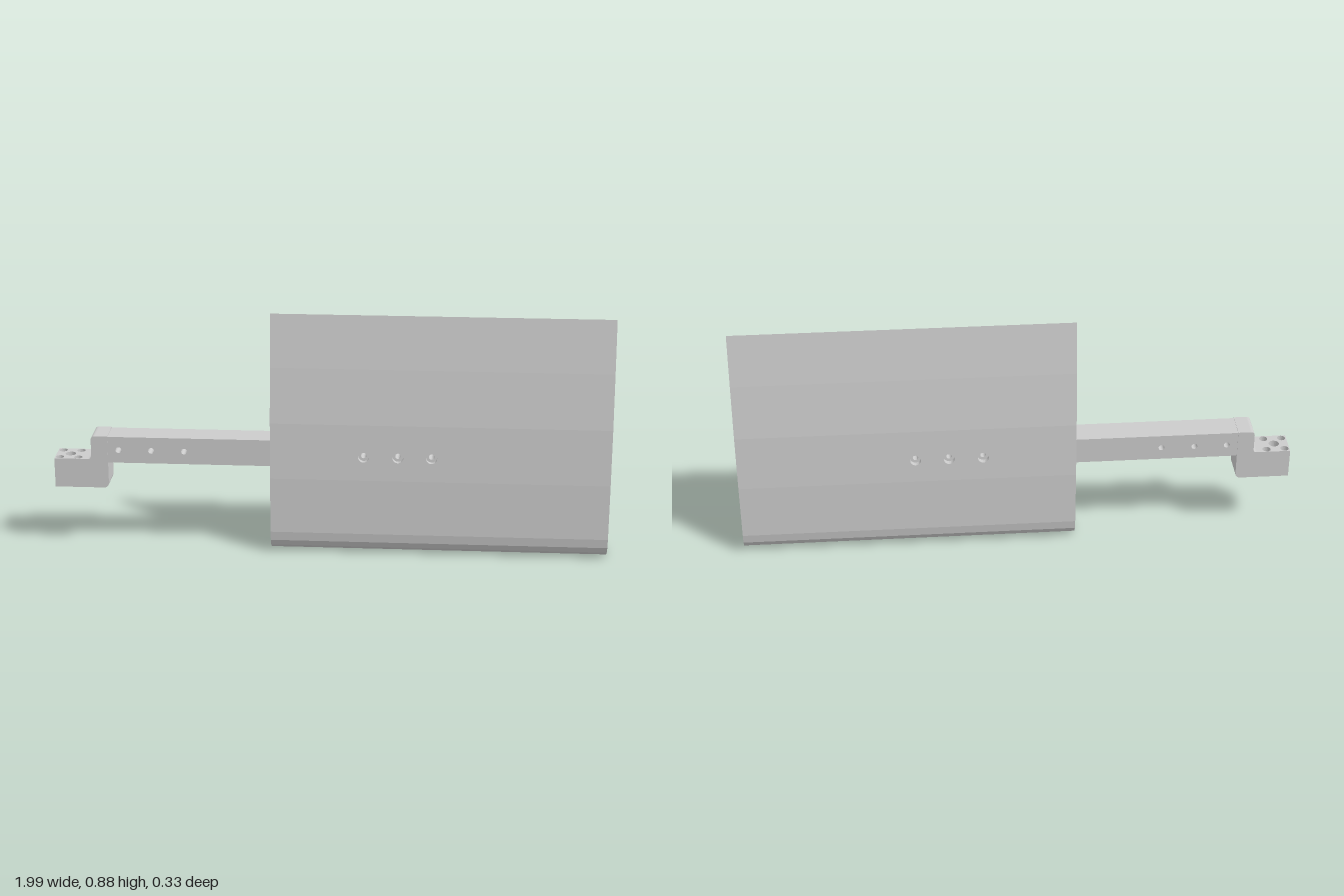
import * as THREE from 'three';

const material = new THREE.MeshStandardMaterial({ color: 0xcccccc, flatShading: true, side: THREE.DoubleSide });

function addMesh(parent, name, geometry) {
  const mesh = new THREE.Mesh(geometry, material);
  mesh.name = name;
  parent.add(mesh);
  return mesh;
}

function rectangle(x0, y0, x1, y1) {
  return new THREE.Shape([
    new THREE.Vector2(x0, y0), new THREE.Vector2(x1, y0),
    new THREE.Vector2(x1, y1), new THREE.Vector2(x0, y1),
  ]);
}

function punch(shape, x, y, r) {
  shape.holes.push(new THREE.Path().absarc(x, y, r, 0, Math.PI * 2, true));
}

const extrude = (shape, depth) =>
  new THREE.ExtrudeGeometry(shape, { depth, bevelEnabled: false, curveSegments: 10 });

// Half outline of the foil section: [half thickness, height]
const FOIL = [
  [0, 0], [0.03, 0.005], [0.051, 0.021], [0.068, 0.046], [0.073, 0.08],
  [0.07, 0.285], [0.0565, 0.49], [0.0305, 0.69], [0, 0.88],
];
const HALF = 0.6055;      // half span of the foil
const CENTRE = 0.3865;    // middle of the foil along the arm axis
const HOLE_Y = 0.373;
const FOIL_HOLES = [0.115, 0.237, 0.357];

// One side of the foil: flat strips, one of them pierced by counterbored holes
function foilSide(flip) {
  const side = new THREE.Group();
  side.name = flip ? 'foilBack' : 'foilFront';
  for (let i = 0; i < FOIL.length - 1; i++) {
    const [z0, y0] = FOIL[i], [z1, y1] = FOIL[i + 1];
    const length = Math.hypot(y1 - y0, z1 - z0);
    const strip = rectangle(-HALF, 0, HALF, length);
    const panel = new THREE.Group();
    panel.name = 'foilPanel';
    panel.position.set(0, y0, z0);
    panel.rotation.x = Math.atan2(z1 - z0, y1 - y0);
    if (y0 < HOLE_Y && y1 > HOLE_Y) {
      const v = length * (HOLE_Y - y0) / (y1 - y0);
      for (const u of FOIL_HOLES) {
        const x = (u - CENTRE) * (flip ? -1 : 1);
        punch(strip, x, v, 0.02);
        const bore = [[0.02, 0], [0.02, -0.02], [0.01, -0.02], [0.01, -0.066]];
        const screwHole = addMesh(panel, 'screwHole',
          new THREE.LatheGeometry(bore.map(p => new THREE.Vector2(...p)), 20));
        screwHole.rotation.x = Math.PI / 2;
        screwHole.position.set(x, v, 0);
      }
    }
    addMesh(panel, 'foilStrip', new THREE.ShapeGeometry(strip, 10));
    side.add(panel);
  }
  if (flip) side.rotation.y = Math.PI;
  return side;
}

function createFoil() {
  const foil = new THREE.Group();
  foil.name = 'foil';
  foil.position.x = CENTRE;
  foil.add(foilSide(false), foilSide(true));
  // End caps
  const outline = [...FOIL, ...FOIL.slice(1, -1).reverse().map(([z, y]) => [-z, y])];
  for (const s of [-1, 1]) {
    const section = new THREE.Shape(outline.map(p => new THREE.Vector2(...p)));
    const cap = addMesh(foil, 'foilEnd', new THREE.ShapeGeometry(section));
    cap.rotation.y = s * Math.PI / 2;
    cap.position.x = s * HALF;
  }
  return foil;
}

function createArm() {
  // Square bar with three cross holes, running into the foil
  const bar = rectangle(-0.805, 0.325, -0.15, 0.423);
  for (const x of [-0.766, -0.648, -0.529]) punch(bar, x, HOLE_Y, 0.011);
  return extrude(bar, 0.098).translate(0, 0, -0.049);
}

function createBracket() {
  const bracket = new THREE.Group();
  bracket.name = 'bracket';

  // Upright part with rounded corners and a fillet at the step
  const riser = new THREE.Shape();
  riser.moveTo(-0.865, 0.228);
  riser.lineTo(-0.825, 0.228);
  riser.quadraticCurveTo(-0.805, 0.228, -0.805, 0.248);
  riser.lineTo(-0.805, 0.425);
  riser.lineTo(-0.85, 0.425);
  riser.quadraticCurveTo(-0.865, 0.425, -0.865, 0.41);
  riser.lineTo(-0.865, 0.35);
  riser.quadraticCurveTo(-0.865, 0.337, -0.878, 0.337);
  riser.lineTo(-0.865, 0.336);
  addMesh(bracket, 'riser', extrude(riser, 0.102).translate(0, 0, -0.051));

  // Mounting block in two layers: narrow holes below, counterbores above
  for (const [y0, y1, r] of [[0.228, 0.3, 0.008], [0.3, 0.337, 0.015]]) {
    const plate = rectangle(-1, -0.051, -0.865, 0.051);
    punch(plate, -0.949, 0, 0.019);
    for (const sx of [-1, 1]) for (const sz of [-1, 1]) {
      punch(plate, -0.949 + sx * 0.033, sz * 0.034, r);
    }
    addMesh(bracket, 'mountBlock', extrude(plate, y1 - y0).rotateX(-Math.PI / 2).translate(0, y0, 0));
  }
  return bracket;
}

export function createModel() {
  const model = new THREE.Group();
  model.name = 'foilOnArm';
  // Everything lies along one axis, turned slightly about the vertical
  const assembly = new THREE.Group();
  assembly.name = 'assembly';
  assembly.rotation.y = 0.1033;
  assembly.position.z = 0.012;
  assembly.add(createFoil(), createBracket());
  addMesh(assembly, 'arm', createArm());
  model.add(assembly);
  return model;
}
